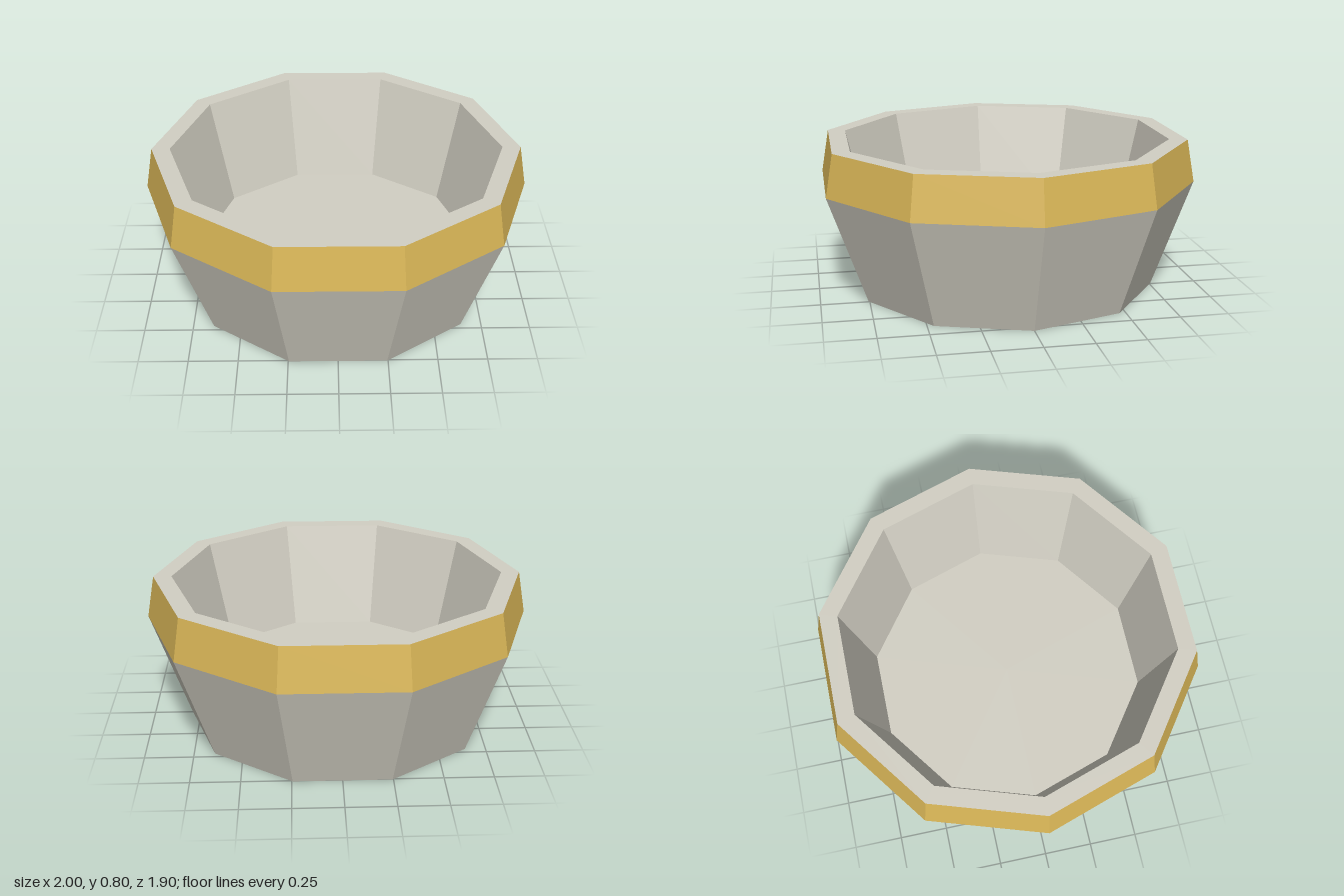
import * as THREE from 'three';

const SIDES = 10;

export function createModel() {
  const model = new THREE.Group();
  model.name = 'bowl';

  const stone = new THREE.MeshStandardMaterial({ name: 'pale stone', color: 0xd2cfc3, flatShading: true });
  const gold = new THREE.MeshStandardMaterial({ name: 'gold', color: 0xd9b657, flatShading: true });

  const add = (name, geometry, material) => {
    const mesh = new THREE.Mesh(geometry, material);
    mesh.name = name;
    model.add(mesh);
    return mesh;
  };

  // Ten-sided ring swept from [radius, height] points, with corners on the x axis
  const ring = (name, points, material) => {
    const profile = points.map(([r, y]) => new THREE.Vector2(r, y));
    const geometry = new THREE.LatheGeometry(profile, SIDES, Math.PI / 2).toNonIndexed();
    geometry.computeVertexNormals();
    return add(name, geometry, material);
  };

  // Flat ten-sided plate facing up or down
  const plate = (name, radius, y, up) => {
    const mesh = add(name, new THREE.CircleGeometry(radius, SIDES), stone);
    mesh.rotation.x = up ? -Math.PI / 2 : Math.PI / 2;
    mesh.position.y = y;
  };

  // Flared outer wall and the gold band above it
  ring('outerWall', [[0.795, 0], [1, 0.575]], stone);
  ring('goldBand', [[1, 0.575], [0.96, 0.797]], gold);

  // Flat lip and the sloping inside
  ring('lip', [[0.96, 0.797], [0.865, 0.797]], stone);
  ring('innerWall', [[0.865, 0.797], [0.725, 0.233]], stone);

  // Underside and inner floor
  plate('underside', 0.795, 0, false);
  plate('innerFloor', 0.725, 0.233, true);

  return model;
}
